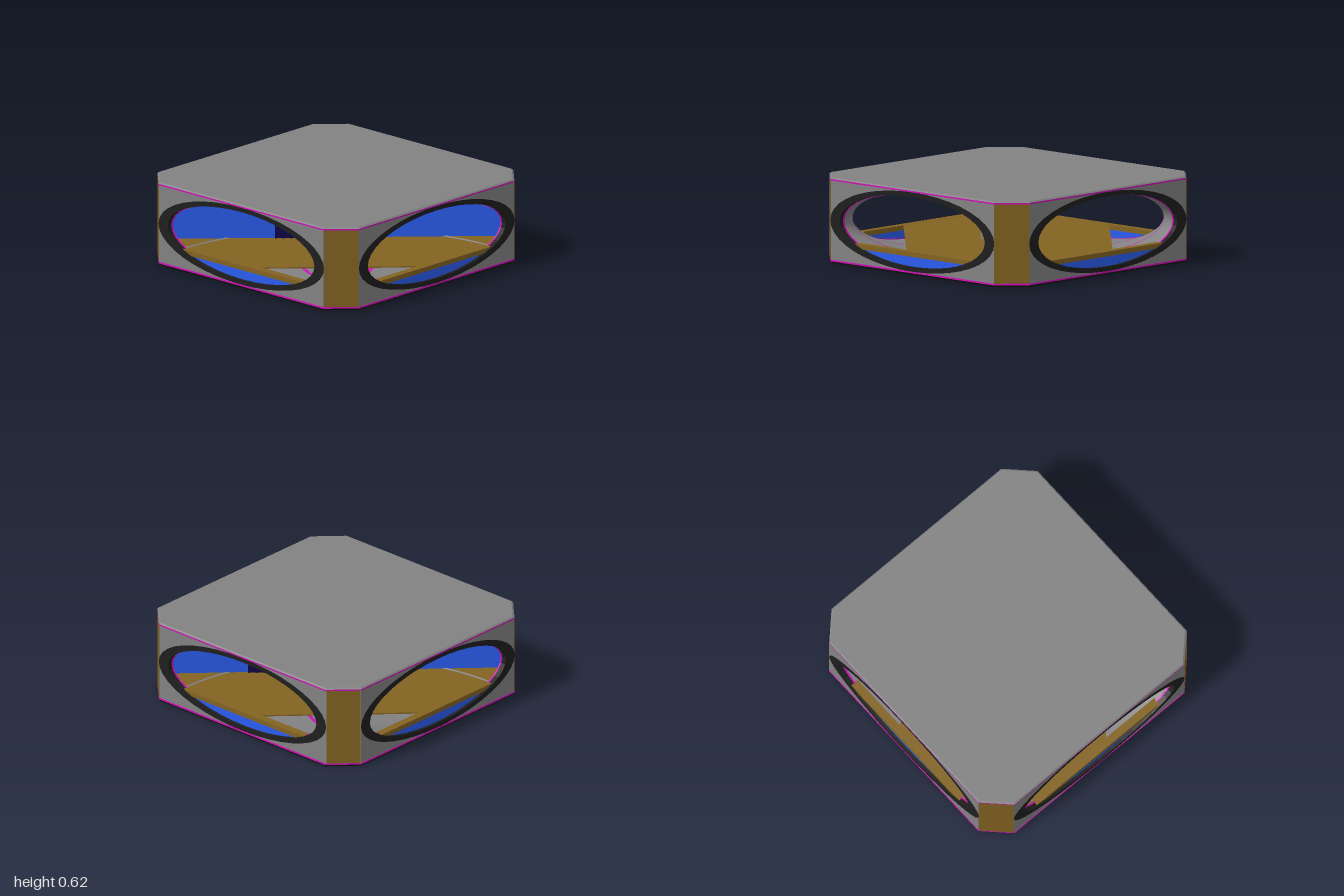
import * as THREE from 'three';
import { ParametricGeometry } from 'three/addons/geometries/ParametricGeometry.js';

const mat = color => new THREE.MeshStandardMaterial({ color });
const grey = mat(0x828282), dark = mat(0x1e1e1e), black = mat(0x151515);
const brown = mat(0x836322), blue = mat(0x2a5cf0), navy = mat(0x0e0648), magenta = mat(0xd010b8);

const CY = 0.315;                                // height of the opening and tunnel axis
const OUT = [0.818, 0.29], IN = [0.725, 0.257];  // half sizes of the rim
const R = 0.96;                                  // turning radius of the tunnels
const TOP = 0.46;                                // top of the dividing wall

function add(parent, name, geometry, material, x = 0, y = 0, z = 0) {
  const mesh = new THREE.Mesh(geometry, material);
  mesh.name = name;
  mesh.position.set(x, y, z);
  parent.add(mesh);
  return mesh;
}

const polygon = pts => new THREE.Shape(pts.map(p => new THREE.Vector2(...p)));
const ellipsePoints = (a, b, from = 0, to = Math.PI * 2, n = 40) =>
  Array.from({ length: n + 1 }, (_, i) => {
    const t = from + (to - from) * i / n;
    return [a * Math.cos(t), CY + b * Math.sin(t)];
  });
const extrude = (shape, depth) => new THREE.ExtrudeGeometry(shape, { depth, bevelEnabled: false });

// Extruded outline with an elliptical hole
function pierced(outline, a, b, depth) {
  const shape = polygon(outline);
  shape.holes.push(polygon(ellipsePoints(a, b)));
  return extrude(shape, depth);
}

// Square with chamfered corners
const octagon = (r, c) => [[r, -c], [r, c], [c, r], [-c, r], [-r, c], [-r, -c], [-c, -r], [c, -r]];

// Horizontal slab from y0 to y1
function slab(parent, name, pts, y0, y1, material) {
  const geo = extrude(polygon(pts.map(([x, z]) => [x, -z])), y1 - y0).rotateX(-Math.PI / 2);
  return add(parent, name, geo, material, 0, y0, 0);
}

// Octagonal slab with its top or bottom edge drawn in
function beveledSlab(parent, name, y0, y1, topInset, bottomInset, material) {
  const { geometry } = slab(parent, name, octagon(1, 0.815), y0, y1, material);
  const p = geometry.attributes.position;
  for (let i = 0; i < p.count; i++) {
    const k = 1 - (p.getY(i) > (y1 - y0) / 2 ? topInset : bottomInset);
    p.setXYZ(i, p.getX(i) * k, p.getY(i), p.getZ(i) * k);
  }
  geometry.computeVertexNormals();
}

// One of the four identical sides, facing +z
function makeSide() {
  const side = new THREE.Group();
  side.name = 'side';

  const wall = [[-0.82, 0.022], [0.82, 0.022], [0.82, 0.608], [-0.82, 0.608]];
  add(side, 'facade', pierced(wall, ...OUT, 0.02), grey, 0, 0, 0.976);
  add(side, 'openingRim', pierced(ellipsePoints(...OUT), ...IN, 0.04), dark, 0, 0, 0.958);
  add(side, 'rimTrim', pierced(ellipsePoints(IN[0] + 0.004, IN[1] + 0.004),
    IN[0] - 0.004, IN[1] - 0.004, 0.012), magenta, 0, 0, 0.95);

  // Sill with the segment-shaped pane below it
  add(side, 'sill', new THREE.BoxGeometry(1.19, 0.035, 0.06), brown, 0, 0.1475, 0.955);
  const a = Math.asin((0.13 - CY) / IN[1]);
  const segment = ellipsePoints(...IN, Math.PI - a, Math.PI * 2 + a, 20);
  add(side, 'lowerPane', extrude(polygon(segment), 0.015), blue, 0, 0, 0.96);

  const panel = add(side, 'cornerPanel', new THREE.BoxGeometry(0.256, 0.58, 0.02), brown, 0.9, CY, 0.9);
  panel.rotation.y = Math.PI / 4;
  return side;
}

// Elliptical lining turning about a corner, facing inward, open towards the dividing wall
function lining(from, to, scale, slices) {
  const start = Math.asin((TOP - CY) / IN[1]), end = Math.PI * 2 - start;
  return new ParametricGeometry((u, v, out) => {
    const turn = THREE.MathUtils.degToRad(from + (to - from) * u), t = end + (start - end) * v;
    const r = R + IN[0] * scale * Math.cos(t);
    out.set(-R + r * Math.cos(turn), CY + IN[1] * scale * Math.sin(t), R - r * Math.sin(turn));
  }, slices, 64);
}

// Tunnel joining two neighbouring openings, with ribs and ledges
function makeTunnel() {
  const tunnel = new THREE.Group();
  tunnel.name = 'tunnel';
  add(tunnel, 'tunnelLining', lining(0, 90, 1, 32), grey);
  for (const angle of [30, 60])
    add(tunnel, 'tunnelRib', lining(angle - 0.9, angle + 0.9, 0.988, 1), magenta);

  // Ledges closing the gap between lining and dividing wall at both ends
  const edge = Array.from({ length: 7 }, (_, i) => {
    const turn = THREE.MathUtils.degToRad(16.2 * i / 6);
    return [-R + 1.559 * Math.cos(turn), R - 1.559 * Math.sin(turn)];
  });
  const ledge = [...edge, [0.885, 0.885], [0.81, 0.96]];
  slab(tunnel, 'ledge', ledge, TOP - 0.006, TOP, grey);
  slab(tunnel, 'ledge', ledge.map(([x, z]) => [-z, -x]), TOP - 0.006, TOP, grey);
  return tunnel;
}

function makeDoor(parent, x, z) {
  const door = new THREE.Group();
  door.name = 'door';
  door.position.set(x, 0.165, z);
  add(door, 'doorLeaf', new THREE.BoxGeometry(0.222, 0.16, 0.02), navy, 0, 0.08, 0);
  for (let i = 0; i < 5; i++)
    add(door, 'doorBar', new THREE.BoxGeometry(0.012, 0.165, 0.034), navy, -0.11 + i * 0.055, 0.0825, 0);
  add(door, 'doorHead', new THREE.BoxGeometry(0.232, 0.012, 0.034), navy, 0, 0.16, 0);
  parent.add(door);
}

export function createModel() {
  const model = new THREE.Group();
  model.name = 'pavilion';

  // Base, trims and roof
  beveledSlab(model, 'base', 0, 0.014, 0, 0.008, black);
  slab(model, 'lowerTrim', octagon(1, 0.815), 0.014, 0.026, magenta);
  slab(model, 'upperTrim', octagon(1, 0.815), 0.604, 0.615, magenta);
  beveledSlab(model, 'roof', 0.615, 0.625, 0.01, 0, grey);

  for (let i = 0; i < 4; i++) {
    const side = makeSide();
    side.rotation.y = i * Math.PI / 2;
    model.add(side);
  }

  // Two tunnels, back to back
  for (const turn of [0, Math.PI]) {
    const tunnel = makeTunnel();
    tunnel.rotation.y = turn;
    model.add(tunnel);
  }

  // Floor running from corner to corner
  slab(model, 'floor', [[0.96, -0.09], [0.96, 0.78], [0.78, 0.96], [-0.09, 0.96],
    [-0.96, 0.09], [-0.96, -0.78], [-0.78, -0.96], [0.09, -0.96]], 0.154, 0.164, brown);

  // Diagonal wall between the tunnels, with a door on each face
  const divider = new THREE.Group();
  divider.name = 'divider';
  divider.rotation.y = -Math.PI / 4;
  model.add(divider);
  add(divider, 'dividingWall', new THREE.BoxGeometry(2.5, TOP - 0.06, 0.03), blue, 0, TOP / 2 + 0.03, 0);
  makeDoor(divider, -0.325, 0.02);
  makeDoor(divider, 0.52, -0.02);
  return model;
}
